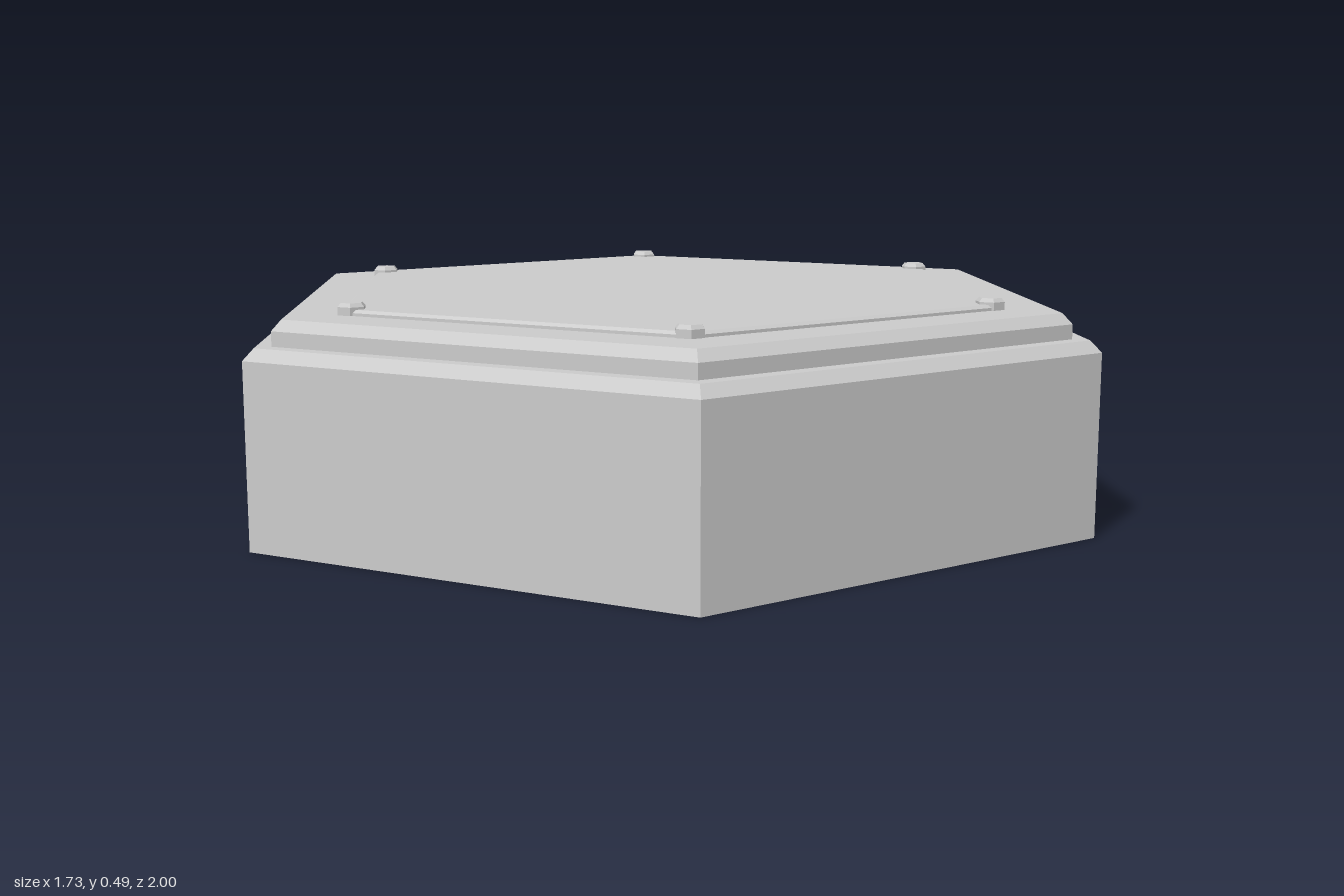
import * as THREE from 'three';

const material = new THREE.MeshStandardMaterial({ color: 0xcccccc, flatShading: true });

// Six-sided slab with a chamfered upper rim; profile runs bottom to top
function hexSlab(name, radius, y0, y1, chamferR, chamferH) {
  const profile = [
    [0, y0], [radius, y0], [radius, y1 - chamferH], [radius - chamferR, y1], [0, y1],
  ].map(([r, y]) => new THREE.Vector2(r, y));
  const mesh = new THREE.Mesh(new THREE.LatheGeometry(profile, 6), material);
  mesh.name = name;
  return mesh;
}

export function createModel() {
  const model = new THREE.Group();
  model.name = 'hexagonalPlatform';

  // Stepped body
  model.add(hexSlab('base', 1, 0, 0.413, 0.025, 0.024));
  model.add(hexSlab('upperTier', 0.938, 0.413, 0.466, 0.022, 0.022));
  model.add(hexSlab('topPanel', 0.79, 0.466, 0.478, 0.008, 0.006));

  // One bolt at each panel corner
  const bolts = new THREE.Group();
  bolts.name = 'bolts';
  for (let i = 0; i < 6; i++) {
    const a = (i * Math.PI) / 3;
    const bolt = hexSlab('bolt', 0.031, 0.466, 0.491, 0.007, 0.008);
    bolt.position.set(Math.sin(a) * 0.764, 0, Math.cos(a) * 0.764);
    bolts.add(bolt);
  }
  model.add(bolts);
  return model;
}
